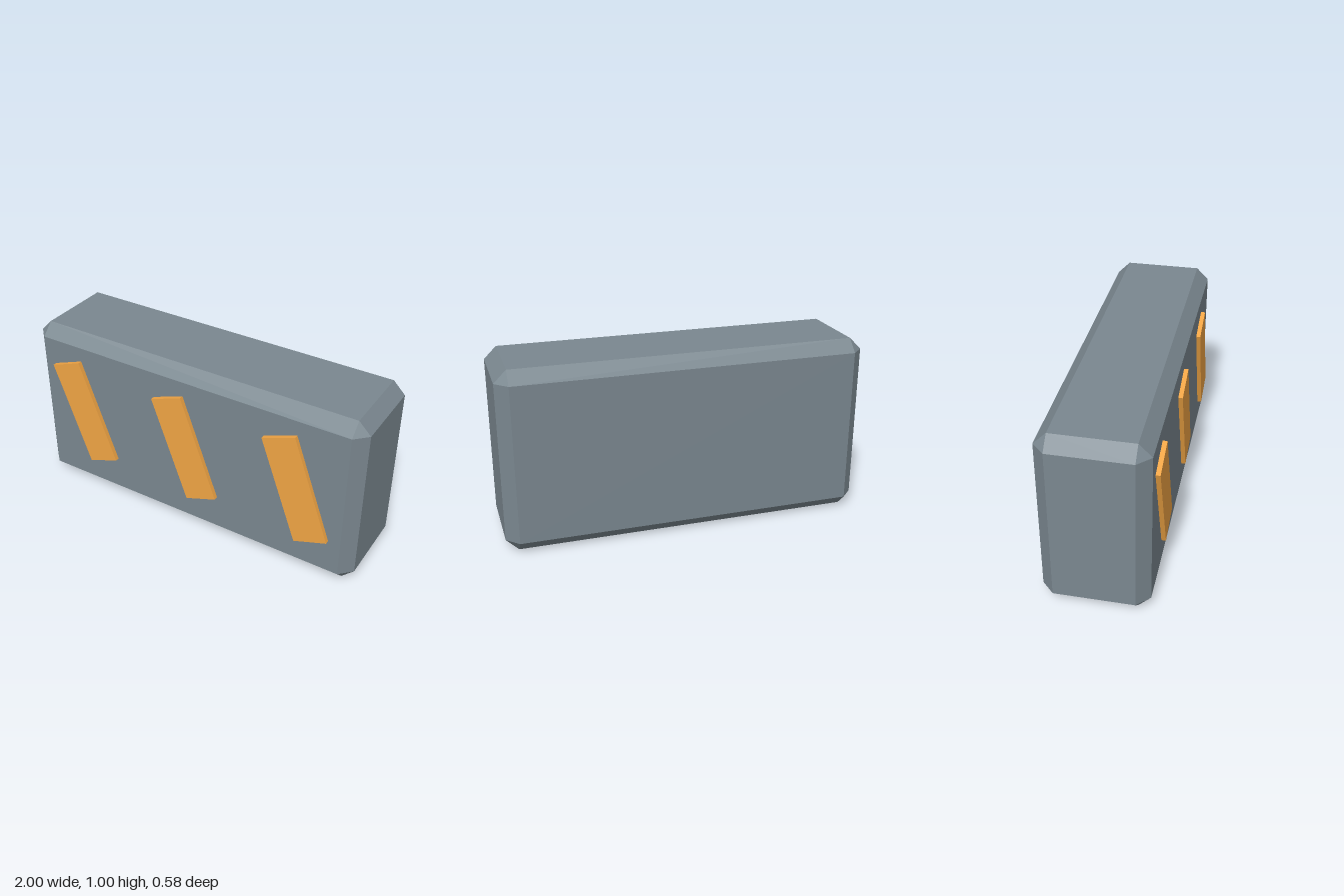
import * as THREE from 'three';
import { ConvexGeometry } from 'three/addons/geometries/ConvexGeometry.js';

// Box with flat 45-degree bevels: hull of the eight corners, each cut into three points
function chamferedBox(w, h, d, c) {
  const [x, y, z] = [w / 2, h / 2, d / 2];
  const points = [];
  for (const sx of [-1, 1]) for (const sy of [-1, 1]) for (const sz of [-1, 1]) {
    points.push(
      new THREE.Vector3(sx * x, sy * (y - c), sz * (z - c)),
      new THREE.Vector3(sx * (x - c), sy * y, sz * (z - c)),
      new THREE.Vector3(sx * (x - c), sy * (y - c), sz * z)
    );
  }
  return new ConvexGeometry(points);
}

export function createModel() {
  const model = new THREE.Group();
  model.name = 'barrierBlock';
  const bodyMaterial = new THREE.MeshStandardMaterial({ color: 0x7a878f, flatShading: true });
  const stripeMaterial = new THREE.MeshStandardMaterial({ color: 0xf0a444, flatShading: true });

  // Bevelled block
  const body = new THREE.Mesh(chamferedBox(2, 1, 0.556, 0.067), bodyMaterial);
  body.name = 'body';
  body.position.set(0, 0.5, -0.012);
  model.add(body);

  // Slanted warning stripes, half sunk into the front face
  const stripeGeometry = new THREE.BoxGeometry(0.196, 0.621, 0.048);
  [-0.667, 0, 0.667].forEach((x, i) => {
    const stripe = new THREE.Mesh(stripeGeometry, stripeMaterial);
    stripe.name = `stripe${i + 1}`;
    stripe.position.set(x, 0.525, 0.266);
    stripe.rotation.z = THREE.MathUtils.degToRad(20);
    model.add(stripe);
  });

  return model;
}
